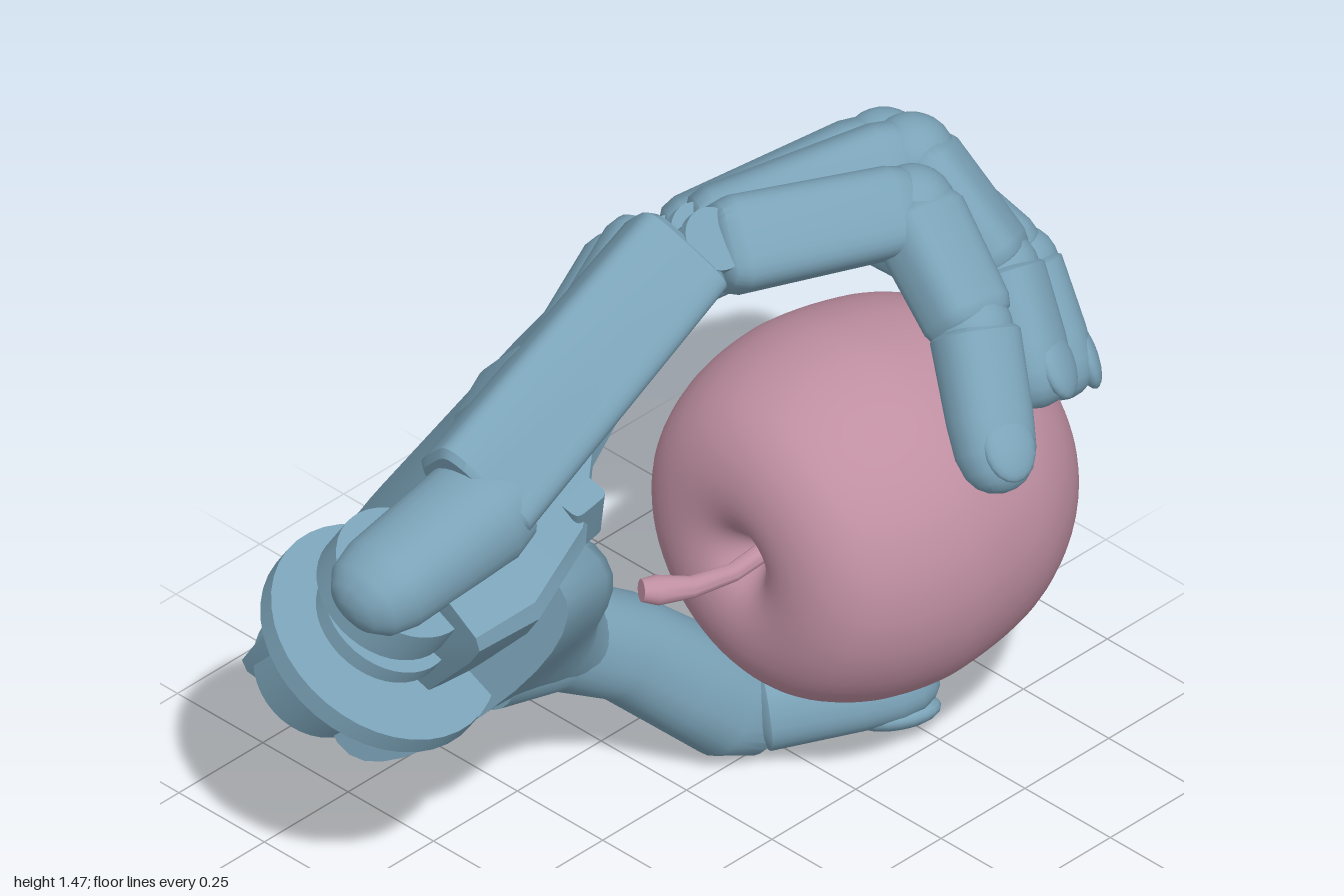
import * as THREE from 'three';
import { toCreasedNormals } from 'three/addons/utils/BufferGeometryUtils.js';

const V = (x, y, z) => new THREE.Vector3(x, y, z);
const blue = new THREE.MeshStandardMaterial({ color: 0x7ba3b8 });
const pink = new THREE.MeshStandardMaterial({ color: 0xbf8fa1 });
const across = V(0.65, 0.75, 0).normalize(); // knuckle line
const backOut = V(-0.75, 0.65, 0.25).normalize(); // out of the back of the hand
const appleCentre = V(0.16, 0.66, -0.4);

function mesh(name, geo, parent, mat = blue) {
  const m = new THREE.Mesh(geo, mat);
  m.name = name;
  parent.add(m);
  return m;
}

// Skin over closed rings, with fan caps; rings turn counter-clockwise about the path
function loft(rings, crease = 0.7) {
  const n = rings[0].length, pos = [], idx = [];
  rings.forEach(r => r.forEach(p => pos.push(p.x, p.y, p.z)));
  for (let j = 0; j < rings.length - 1; j++) {
    for (let i = 0; i < n; i++) {
      const a = j * n + i, b = j * n + (i + 1) % n;
      idx.push(a, b, b + n, a, b + n, a + n);
    }
  }
  [0, rings.length - 1].forEach((j, end) => {
    const c = rings[j].reduce((s, p) => s.add(p), V(0, 0, 0)).divideScalar(n);
    const ci = pos.length / 3;
    pos.push(c.x, c.y, c.z);
    for (let i = 0; i < n; i++) {
      const a = j * n + i, b = j * n + (i + 1) % n;
      if (end) idx.push(ci, a, b); else idx.push(ci, b, a);
    }
  });
  const g = new THREE.BufferGeometry();
  g.setAttribute('position', new THREE.Float32BufferAttribute(pos, 3));
  g.setIndex(idx);
  return toCreasedNormals(g, crease);
}

// Sweep a superellipse through stations [x, y, z, halfWidth, halfHeight]
function sweep(stations, up, power = 2.6, n = 28) {
  const pts = stations.map(s => V(s[0], s[1], s[2]));
  return loft(stations.map((s, j) => {
    const t = pts[Math.min(j + 1, pts.length - 1)].clone().sub(pts[Math.max(j - 1, 0)]).normalize();
    const side = up.clone().cross(t).normalize();
    const rise = t.clone().cross(side);
    return Array.from({ length: n }, (_, i) => {
      const a = i / n * Math.PI * 2, c = Math.cos(a), q = Math.sin(a);
      const f = v => Math.sign(v) * Math.abs(v) ** (2 / power);
      return pts[j].clone().addScaledVector(side, f(c) * s[3]).addScaledVector(rise, f(q) * s[4]);
    });
  }));
}

// Straight segment with rounded ends; profile lists [fraction, scale]
const blunt = [[0, 0.72], [0.03, 0.9], [0.1, 1], [0.88, 1], [0.96, 0.92], [1, 0.75]];
const tip = [[0, 0.82], [0.04, 1], [0.55, 1], [0.76, 0.95], [0.88, 0.8], [0.95, 0.58], [0.985, 0.34], [1, 0.08]];
function segment(a, b, [w0, h0], [w1, h1], up, profile, power) {
  const d = b.clone().sub(a).normalize();
  const flat = up.clone().addScaledVector(d, -up.dot(d)).normalize();
  return sweep(profile.map(([t, k]) => {
    const p = a.clone().lerp(b, t), mix = THREE.MathUtils.lerp;
    return [p.x, p.y, p.z, mix(w0, w1, t) * k, mix(h0, h1, t) * k];
  }), flat, power);
}

function disc(name, parent, centre, axis, r, length) {
  const m = mesh(name, toCreasedNormals(new THREE.CylinderGeometry(r, r, length, 40), 0.7), parent);
  m.position.copy(centre);
  m.quaternion.setFromUnitVectors(V(0, 1, 0), axis.clone().normalize());
  return m;
}

// Nail plate set into the outer face of a fingertip
function nail(parent, a, b, out, r) {
  const d = b.clone().sub(a).normalize();
  const up = out.clone().addScaledVector(d, -out.dot(d)).normalize();
  const m = mesh('nail', new THREE.SphereGeometry(1, 20, 12), parent);
  m.quaternion.setFromRotationMatrix(new THREE.Matrix4().makeBasis(up.clone().cross(d), up, d));
  m.scale.set(r * 0.66, r * 0.3, r * 0.85);
  m.position.copy(a).lerp(b, 0.74).addScaledVector(up, r * 0.62);
}

function finger(name, parent, P, r) {
  const g = new THREE.Group();
  g.name = name;
  parent.add(g);
  const outward = i => P[i].clone().add(P[i + 1]).multiplyScalar(0.5).sub(appleCentre).normalize();
  const start = P[0].clone().lerp(P[1], 0.08);
  const end = P[3].clone().addScaledVector(P[3].clone().sub(P[2]).normalize(), 0.05);
  mesh('proximalSegment', segment(start, P[1], [r, r], [r * 0.92, r * 0.92], backOut, blunt, 3.4), g);
  mesh('middleSegment', segment(P[1], P[2], [r * 0.92, r * 0.9], [r * 0.86, r * 0.82], outward(1), blunt, 3), g);
  mesh('fingertip', segment(P[2], end, [r * 0.9, r * 0.86], [r * 0.84, r * 0.76], outward(2), tip, 2.4), g);
  nail(g, P[2], end, outward(2), r * 0.9);
  [[1, 0.9], [2, 0.8]].forEach(([i, k]) => {
    const ball = mesh('jointKnuckle', new THREE.SphereGeometry(r * k, 24, 16), g);
    ball.position.copy(P[i]);
  });
  disc('knuckleHinge', g, P[0], across, r * 0.6, r * 1.5);
  [-1, 1].forEach(s => disc('hingeCheek', g, P[0].clone().addScaledVector(across, s * r * 0.7), across, r * 0.68, 0.025));
}

export function createModel() {
  const model = new THREE.Group();
  const hand = new THREE.Group();
  hand.name = 'hand';
  model.add(hand);

  // Palm shell: four rounded corners per station, fingers to wrist
  const palm = [
    [[-0.645, 0.835, -0.33], [-0.53, 0.74, -0.31], [0.02, 1.28, 0.02], [-0.12, 1.41, 0]],
    [[-0.635, 0.77, -0.1], [-0.49, 0.64, -0.1], [0.03, 1.22, 0.1], [-0.115, 1.36, 0.12]],
    [[-0.615, 0.62, 0.34], [-0.44, 0.48, 0.34], [0.08, 1.06, 0.34], [-0.09, 1.26, 0.36]],
    [[-0.61, 0.58, 0.44], [-0.38, 0.3, 0.42], [0.16, 0.95, 0.44], [-0.08, 1.22, 0.46]],
    [[-0.595, 0.48, 0.64], [-0.36, 0.265, 0.54], [0.22, 0.89, 0.64], [-0.05, 1.15, 0.66]],
    [[-0.58, 0.44, 0.76], [-0.37, 0.27, 0.64], [0.2, 0.88, 0.8], [-0.03, 1.08, 0.83]],
  ];
  mesh('palm', loft(palm.map(q => q.flatMap((c, k) => {
    const p = V(...c), prev = V(...q[(k + 3) % 4]), next = V(...q[(k + 1) % 4]);
    const a = p.clone().lerp(prev, 0.12), b = p.clone().lerp(next, 0.12);
    return [a, a.clone().add(b).multiplyScalar(0.25).addScaledVector(p, 0.5), b];
  })), 0.5), hand);

  // Fingers: knuckle, two joints, tip
  const fingers = {
    indexFinger: [[-0.03, 1.35, -0.06], [0.17, 1.34, -0.5], [0.4, 1.17, -0.45], [0.575, 0.95, -0.345]],
    middleFinger: [[-0.19, 1.22, -0.18], [0.04, 1.34, -0.63], [0.26, 1.14, -0.67], [0.42, 0.95, -0.62]],
    ringFinger: [[-0.36, 1.05, -0.28], [-0.13, 1.22, -0.72], [0.17, 1.03, -0.82], [0.32, 0.83, -0.795]],
    littleFinger: [[-0.51, 0.87, -0.38], [-0.29, 1.01, -0.75], [-0.05, 0.86, -0.905], [0.11, 0.68, -0.87]],
  };
  Object.entries(fingers).forEach(([name, pts], i) =>
    finger(name, hand, pts.map(p => V(...p)), [0.104, 0.104, 0.104, 0.1][i]));

  // Knuckle ridges fading into the back of the palm
  [[-0.255, 1.235, -0.15], [-0.405, 1.065, -0.24], [-0.55, 0.86, -0.35]].forEach(([x, y, z]) => {
    mesh('knuckleRidge', segment(V(x, y, z), V(x + 0.05, y - 0.14, z + 0.3),
      [0.085, 0.085], [0.085, 0.07], backOut, blunt, 2.8), hand);
  });

  // Raised plate leading to the index finger, with its clip
  mesh('indexPlate', segment(V(-0.05, 1.36, -0.03), V(0, 1.09, 0.64),
    [0.1, 0.12], [0.1, 0.13], backOut, [[0, 0.86], [0.02, 1], [0.98, 1], [1, 0.88]], 5), hand);
  mesh('plateClip', segment(V(-0.15, 1.15, 0.32), V(-0.12, 1.11, 0.44),
    [0.13, 0.08], [0.1, 0.08], backOut, [[0, 1], [1, 1]], 6), hand);
  mesh('plateClip', segment(V(0.09, 1.04, 0.42), V(0.06, 0.9, 0.38),
    [0.05, 0.045], [0.03, 0.04], V(0, 0, 1), [[0, 1], [1, 1]], 6), hand);

  // Wrist: barrel, thin flanges, rounded lug
  const finAxis = V(0.52, 0.85, -0.12);
  disc('wristBarrel', hand, V(-0.25, 0.655, 0.65), V(0.65, 0.75, 0.08), 0.15, 0.66);
  disc('wristFlange', hand, V(-0.18, 0.69, 0.735), finAxis, 0.265, 0.05);
  disc('wristFlange', hand, V(-0.05, 0.94, 0.82), finAxis, 0.16, 0.09);
  disc('wristFlange', hand, V(-0.09, 0.83, 0.81), finAxis, 0.15, 0.04);
  const lug = [[0, 0.25], [0.03, 0.6], [0.1, 0.88], [0.22, 1], [0.8, 1], [0.93, 0.85], [1, 0.4]];
  mesh('wristLug', segment(V(-0.01, 0.98, 1.0), V(0.02, 1.085, 0.54), [0.11, 0.095], [0.13, 0.125], V(0, 1, 0), lug, 2.2), hand);

  // Thumb: broad fleshy mound narrowing out of the wrist, then the bent tip
  const thumb = new THREE.Group();
  thumb.name = 'thumb';
  hand.add(thumb);
  mesh('thumbMound', sweep([
    [-0.09, 0.61, 0.62, 0.4, 0.13], [-0.11, 0.6, 0.5, 0.36, 0.13], [-0.15, 0.56, 0.41, 0.29, 0.13],
    [-0.18, 0.5, 0.32, 0.2, 0.13], [-0.19, 0.45, 0.24, 0.145, 0.125], [-0.18, 0.4, 0.16, 0.11, 0.11],
  ], V(0.75, -0.65, 0), 2.4), thumb);
  mesh('thumbBase', sweep([
    [-0.235, 0.46, 0.38, 0.15, 0.13], [-0.195, 0.42, 0.2, 0.125, 0.12],
    [-0.145, 0.335, 0.05, 0.118, 0.115], [-0.085, 0.225, -0.07, 0.12, 0.12], [-0.045, 0.135, -0.16, 0.12, 0.12],
    [-0.01, 0.095, -0.225, 0.105, 0.095], [0.005, 0.075, -0.255, 0.06, 0.05],
  ], V(0, 0.75, -0.65), 2.3), thumb);
  const thumbA = V(0, 0.13, -0.2), thumbB = V(0.22, 0.155, -0.53), thumbOut = V(0.35, -0.9, 0);
  mesh('thumbTip', segment(thumbA, thumbB, [0.108, 0.1], [0.1, 0.085], thumbOut, tip, 2.5), thumb);
  nail(thumb, thumbA, thumbB, thumbOut, 0.115);

  // Apple: lathe with a dimple at each end, axis along z
  const apple = new THREE.Group();
  apple.name = 'apple';
  apple.position.copy(appleCentre);
  apple.rotation.y = -0.06;
  model.add(apple);
  const outline = [[0, -0.345], [0.05, -0.37], [0.12, -0.39], [0.2, -0.378], [0.28, -0.32], [0.345, -0.235], [0.39, -0.13],
    [0.415, 0.02], [0.412, 0.12], [0.388, 0.225], [0.335, 0.325], [0.26, 0.382], [0.17, 0.402], [0.09, 0.385], [0.035, 0.33], [0, 0.29]];
  const curve = new THREE.SplineCurve(outline.map(p => new THREE.Vector2(...p)));
  const profile = curve.getPoints(60).map(p => new THREE.Vector2(Math.max(0, p.x), p.y));
  mesh('appleFlesh', new THREE.LatheGeometry(profile, 64).rotateX(Math.PI / 2), apple, pink);
  mesh('stem', sweep([[0, 0, 0.27, 0.022, 0.022], [0, -0.02, 0.4, 0.02, 0.02], [-0.02, -0.02, 0.5, 0.024, 0.024],
    [-0.05, -0.01, 0.57, 0.034, 0.032], [-0.065, -0.005, 0.6, 0.026, 0.024]], V(0, 1, 0), 2, 16), apple, pink);

  return model;
}
